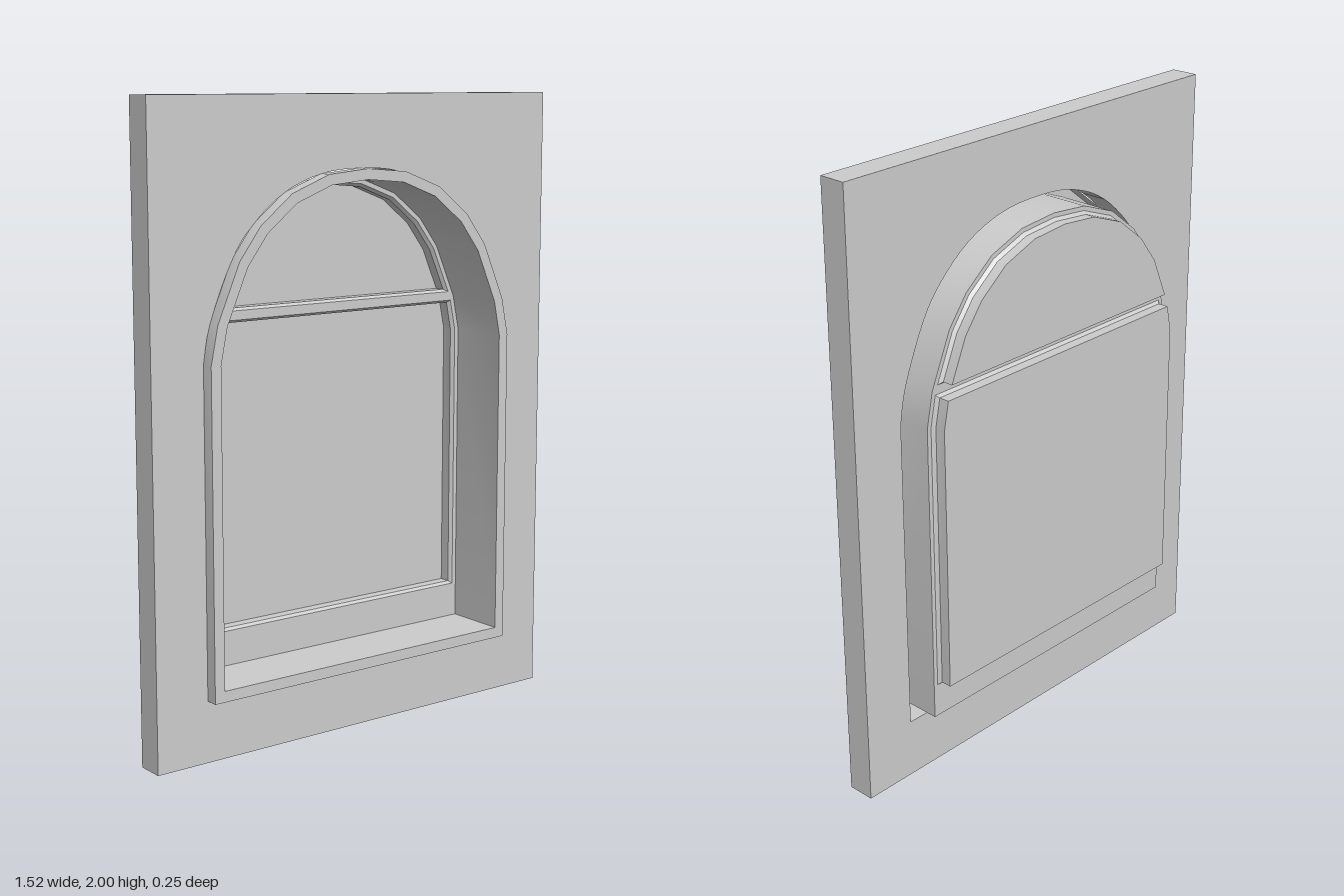
import * as THREE from 'three';
import { toCreasedNormals } from 'three/addons/utils/BufferGeometryUtils.js';

const grey = new THREE.MeshStandardMaterial({ color: 0xcccccc, side: THREE.DoubleSide });

// Right half of the faceted arch, from the springing line to the crown
const SPRING = 1.22, HALF = 0.58;
const ARCH = [[0.58, 1.22], [0.555, 1.34], [0.476, 1.52], [0.4, 1.62], [0.286, 1.71], [0.148, 1.762], [0, 1.775]];

// Arched outline inset by d, cut off below y0 and above y1
function outline(d, y0, y1 = Infinity) {
  const s = 1 - d / HALF;
  const chain = [[HALF * s, 0], ...ARCH.map(([x, y]) => [x * s, SPRING + (y - SPRING) * s])];
  const side = [];
  chain.forEach(([x, y], i) => {
    if (i > 0) {
      const [px, py] = chain[i - 1];
      for (const cut of [y0, y1]) {
        if (cut > py && cut < y) side.push([px + (x - px) * (cut - py) / (y - py), cut]);
      }
    }
    if (y > y0 && y < y1) side.push([x, y]);
  });
  const mirrored = side.filter(([x]) => x > 1e-6).reverse().map(([x, y]) => [-x, y]);
  return [...side, ...mirrored].map(([x, y]) => new THREE.Vector2(x, y));
}

// Skin through closed rings, each given as { pts, z }
function loft(rings) {
  const n = rings[0].pts.length, pos = [], idx = [];
  for (const { pts, z } of rings) for (const p of pts) pos.push(p.x, p.y, z);
  for (let r = 0; r < rings.length - 1; r++) {
    for (let i = 0; i < n; i++) {
      const a = r * n + i, b = r * n + (i + 1) % n;
      idx.push(a, b, b + n, a, b + n, a + n);
    }
  }
  const g = new THREE.BufferGeometry();
  g.setAttribute('position', new THREE.Float32BufferAttribute(pos, 3));
  g.setIndex(idx);
  return toCreasedNormals(g, 0.5);
}

export function createModel() {
  const model = new THREE.Group();
  model.name = 'archedWindow';
  const add = (name, geometry, z = 0) => {
    const mesh = new THREE.Mesh(geometry, grey);
    mesh.name = name;
    mesh.position.z = z;
    model.add(mesh);
  };

  const WALL_BACK = -0.006, WALL_FRONT = 0.084, FRONT = 0.125, STEP = -0.08, BACK = -0.125;

  // Wall slab with a smoother arched opening
  const wall = new THREE.Shape([[-0.76, 0], [0.76, 0], [0.76, 2], [-0.76, 2]].map(p => new THREE.Vector2(...p)));
  const half = ARCH.map(([x, y]) => new THREE.Vector2(x, y));
  const left = half.slice(0, -1).reverse().map(p => new THREE.Vector2(-p.x, p.y));
  const arch = new THREE.SplineCurve([...half, ...left]).getPoints(48);
  wall.holes.push(new THREE.Path([new THREE.Vector2(-HALF, 0.195), new THREE.Vector2(HALF, 0.195), ...arch]));
  add('wall', new THREE.ExtrudeGeometry(wall, { depth: WALL_FRONT - WALL_BACK, bevelEnabled: false }), WALL_BACK);

  // Raised front trim running back into the deep reveal
  const rimOuter = outline(0, 0.195), rimInner = outline(0.035, 0.23);
  add('trimAndReveal', loft([
    { pts: rimOuter, z: WALL_FRONT - 0.004 },
    { pts: rimOuter, z: FRONT },
    { pts: rimInner, z: FRONT },
    { pts: rimInner, z: STEP },
  ]));

  // Sash plate with an opening for each light; the strip between them is the transom
  const sash = new THREE.Shape(rimInner);
  const lights = [
    { name: 'lower', y0: 0.35, y1: 1.31 },
    { name: 'upper', y0: 1.355, y1: Infinity },
  ];
  for (const { name, y0, y1 } of lights) {
    const mouth = outline(0.05, y0 - 0.008, y1 + 0.008);
    const inner = outline(0.06, y0, y1);
    sash.holes.push(new THREE.Path(mouth));
    // Chamfered lip leading back to the pane
    add(name + 'Lip', loft([
      { pts: mouth, z: STEP },
      { pts: inner, z: STEP - 0.01 },
      { pts: inner, z: BACK },
    ]));
    add(name + 'Pane', new THREE.ShapeGeometry(new THREE.Shape(inner)), BACK);
  }
  add('sash', new THREE.ShapeGeometry(sash), STEP);

  return model;
}
